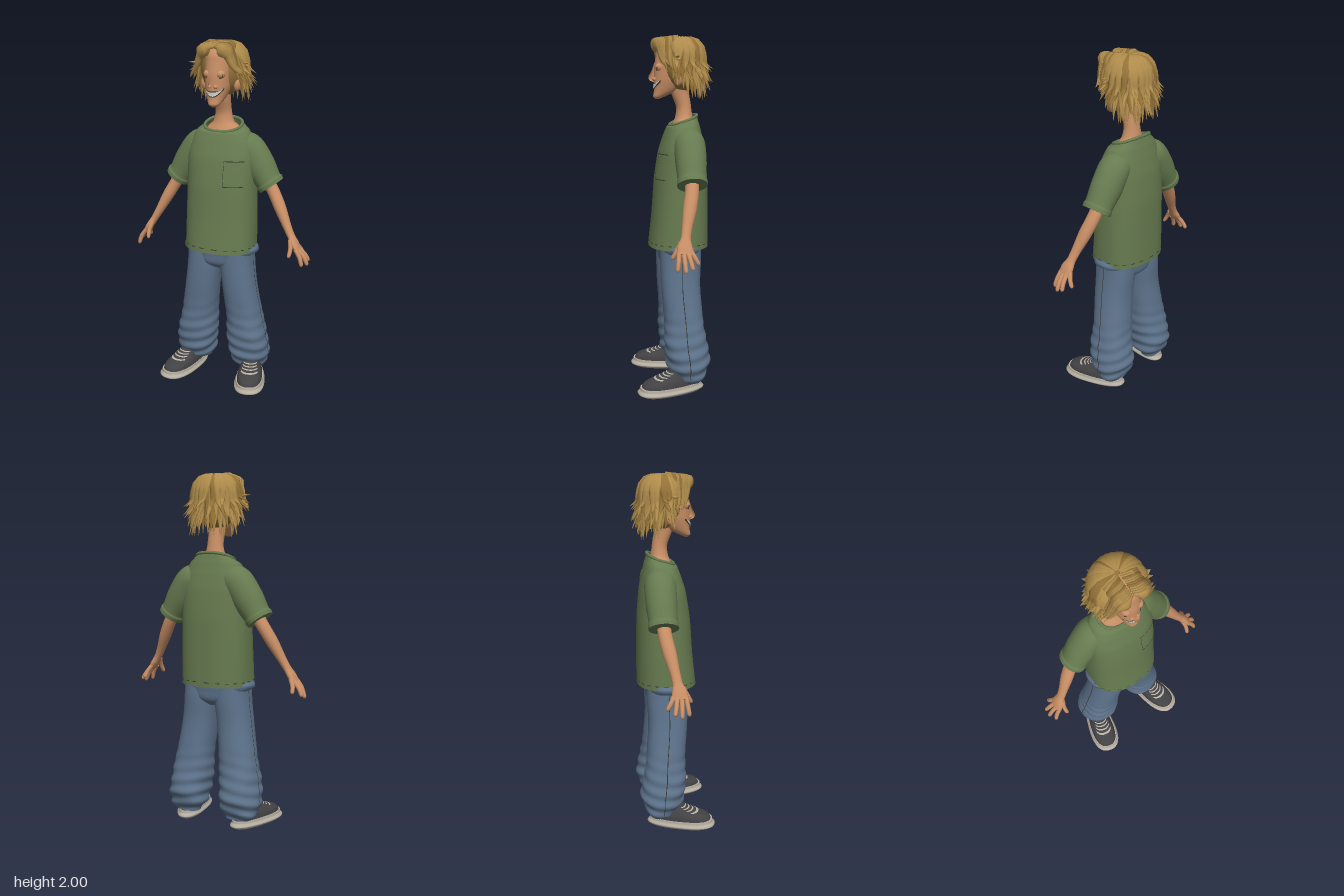
import * as THREE from 'three';
import { mergeGeometries } from 'three/addons/utils/BufferGeometryUtils.js';

const V = (x, y, z) => new THREE.Vector3(x, y, z);
const UP = V(0, 1, 0);
const mat = (name, color, side = THREE.FrontSide) => {
  const m = new THREE.MeshStandardMaterial({ color, side });
  m.name = name;
  return m;
};

let seed = 7;
const rnd = () => (seed = (seed * 16807) % 2147483647) / 2147483647;

// Swept surface. Rows: [x, y, z, radius along ref, radius across, tilt]
function surface(rows, { ref = V(0, 0, 1), upright = false, power = 2 } = {}) {
  const path = new THREE.CatmullRomCurve3(rows.map(r => V(r[0], r[1], r[2])));
  const size = new THREE.CatmullRomCurve3(rows.map(r => V(r[3], r[4], r[5] || 0)));
  const bend = c => Math.sign(c) * Math.abs(c) ** (2 / power);
  return (u, a, off = 0) => {
    const T = upright ? UP : path.getTangent(u);
    const A = ref.clone().addScaledVector(T, -ref.dot(T)).normalize();
    const B = V(0, 0, 0).crossVectors(T, A);
    const s = size.getPoint(u);
    return path.getPoint(u)
      .addScaledVector(A, bend(Math.cos(a)) * (s.x + off))
      .addScaledVector(B, bend(Math.sin(a)) * (s.y + off))
      .addScaledVector(T, s.z * Math.cos(a));
  };
}

// Mesh of fn(s, t) over the unit square, optionally wrapped in t and capped
function grid(fn, ns, nt, wrap = false, caps = false) {
  const pos = [], idx = [], w = wrap ? nt : nt + 1;
  for (let i = 0; i <= ns; i++) for (let j = 0; j < w; j++) pos.push(...fn(i / ns, j / nt).toArray());
  for (let i = 0; i < ns; i++) for (let j = 0; j < nt; j++) {
    const k = (j + 1) % w, a = i * w + j, b = i * w + k;
    idx.push(a, b, a + w, b, b + w, a + w);
  }
  if (caps) for (const s of [0, 1]) {
    const base = pos.length / 3, c = V(0, 0, 0);
    for (let j = 0; j < nt; j++) {
      const p = fn(s, j / nt);
      c.addScaledVector(p, 1 / nt);
      pos.push(...p.toArray());
    }
    pos.push(...c.toArray());
    for (let j = 0; j < nt; j++) {
      const a = base + j, b = base + (j + 1) % nt;
      idx.push(base + nt, s ? a : b, s ? b : a);
    }
  }
  const g = new THREE.BufferGeometry();
  g.setAttribute('position', new THREE.Float32BufferAttribute(pos, 3));
  g.setIndex(idx);
  g.computeVertexNormals();
  return g;
}
const TAU = Math.PI * 2;
const loft = (f, ns = 20, nt = 24, caps = true) => grid((s, t) => f(s, t * TAU), ns, nt, true, caps);
const patch = (f, u0, u1, a0, a1, off = 0.003, n = 6) =>
  grid((s, t) => f(u0 + (u1 - u0) * s, a0 + (a1 - a0) * t, off), n, n);
const uAt = (f, y) => {
  let lo = 0, hi = 1;
  for (let i = 0; i < 25; i++) f((lo + hi) / 2, Math.PI / 2).y < y ? lo = (lo + hi) / 2 : hi = (lo + hi) / 2;
  return lo;
};
const ball = (x, y, z, sx, sy, sz) => new THREE.SphereGeometry(1, 20, 14).scale(sx, sy, sz).translate(x, y, z);
function mirror(g) {
  const m = g.clone().scale(-1, 1, 1), ix = m.index.array;
  for (let i = 0; i < ix.length; i += 3) [ix[i], ix[i + 1]] = [ix[i + 1], ix[i]];
  return m;
}

export function createModel() {
  const root = new THREE.Group();
  const skin = mat('skin', 0xc98f66), hairLight = mat('hair', 0xb18d4c), hairDark = mat('hair shade', 0x957338);
  const green = mat('shirt green', 0x677b50, THREE.DoubleSide), denim = mat('denim', 0x5e748d);
  const black = mat('shoe black', 0x424244), rubber = mat('rubber', 0xb8b0a2);
  const white = mat('teeth', 0xd9d8d0, THREE.DoubleSide), ink = mat('dark seam', 0x33352a, THREE.DoubleSide);
  const part = (name, g, m) => {
    const mesh = new THREE.Mesh(g, m);
    mesh.name = name;
    root.add(mesh);
  };
  const both = (name, g, m) => { part(name + 'Left', g, m); part(name + 'Right', mirror(g), m); };

  // Shirt body with collar, hem stitches and chest pocket
  const torso = surface([[0, .82, -.035, .17, .208], [0, 1, -.044, .159, .206], [0, 1.2, -.05, .15, .202],
    [0, 1.36, -.056, .13, .2], [0, 1.45, -.062, .107, .18], [0, 1.505, -.064, .09, .15, -.008],
    [0, 1.535, -.065, .075, .108, -.03]], { upright: true, power: 2.4 });
  part('shirt', grid((s, t) => torso(s, t * TAU), 36, 48, true), green);
  part('shirtUnderside', new THREE.CircleGeometry(1, 32).rotateX(Math.PI / 2).scale(.2, 1, .155).translate(0, .835, -.035), green);
  const rim = Array.from({ length: 24 }, (_, i) => torso(1, i / 24 * TAU));
  part('collar', new THREE.TubeGeometry(new THREE.CatmullRomCurve3(rim, true), 48, .009, 8, true), green);
  const stitches = [];
  for (let i = 0; i < 22; i++) {
    const a = i / 22 * TAU;
    stitches.push(patch(torso, .022, .026, a, a + .13, .002, 3));
  }
  const pu0 = uAt(torso, 1.21), pu1 = uAt(torso, 1.355);
  part('pocket', patch(torso, pu0, pu1, .22, .88, .005), green);
  stitches.push(patch(torso, pu1 - .005, pu1, .22, .88, .007), patch(torso, pu0, pu1, .215, .225, .006),
    patch(torso, pu0, pu0 + .004, .22, .88, .006));

  // Sleeves, rolled slightly at the cuff
  const sleeve = surface([[.1, 1.43, -.075, .08, .075], [.15, 1.4, -.08, .088, .09], [.21, 1.315, -.08, .086, .09],
    [.268, 1.228, -.077, .079, .075], [.275, 1.218, -.077, .084, .08], [.288, 1.2, -.077, .083, .077]]);
  both('sleeve', loft(sleeve, 24, 28), green);
  part('stitching', mergeGeometries(stitches), ink);

  // Arms running into the palms, then fingers
  const arm = surface([[.23, 1.28, -.078, .04, .04], [.3, 1.17, -.072, .038, .035], [.345, 1.09, -.055, .038, .034],
    [.4, .985, -.03, .028, .024], [.425, .94, -.021, .027, .021], [.453, .895, -.013, .042, .02], [.475, .862, -.01, .042, .014]]);
  both('arm', loft(arm, 28, 18), skin);
  const fingers = [[.43, .92, .005, .435, .83, .055], [.466, .872, .02, .508, .78, .034], [.475, .865, -.004, .53, .776, -.008],
    [.472, .868, -.028, .528, .79, -.046], [.458, .882, -.042, .485, .808, -.083]].map(([x, y, z, X, Y, Z]) => {
    const a = V(x, y, z), b = V(X, Y, Z);
    const rows = [[0, .013], [.45, .0125], [.85, .0115], [.97, .007], [1, .002]].map(([k, r]) => {
      const p = a.clone().lerp(b, k);
      return [p.x + .008 * Math.sin(k * Math.PI), p.y, p.z, r, r];
    });
    return loft(surface(rows), 12, 10);
  });
  both('fingers', mergeGeometries(fingers), skin);

  // Jeans: hips and baggy legs bunching at the ankle
  const hips = surface([[0, .7, -.04, .07, .06], [0, .735, -.038, .112, .13], [0, .79, -.038, .12, .196], [0, .87, -.038, .12, .196]],
    { upright: true, power: 2.5 });
  part('hips', loft(hips, 12, 32), denim);
  const legShape = surface([[.175, .055, -.085, .068, .076], [.17, .1, -.075, .1, .106], [.168, .18, -.072, .126, .117],
    [.158, .27, -.06, .123, .117], [.142, .4, -.052, .112, .106], [.115, .6, -.037, .112, .1],
    [.1, .74, -.038, .117, .1], [.1, .85, -.038, .115, .095]], { upright: true, power: 2.3 });
  const leg = (u, a, off = 0) => {
    const y = legShape(u, 0).y, k = Math.max(0, 1 - y / .5);
    const fold = Math.sin(y * 85 + 2.2 * Math.sin(a + .6)) * .008 + Math.sin(3 * a + y * 20) * .005;
    return legShape(u, a, off + k * fold);
  };
  both('trouserLeg', loft(leg, 70, 32), denim);
  both('sideSeam', patch(leg, .1, .95, 1.555, 1.575, .0015, 40), ink);

  // Shoes turned outward, with laces
  const placeShoe = g => {
    const p = g.attributes.position;
    for (let i = 0; i < p.count; i++) p.setX(i, p.getX(i) * (1 + p.getZ(i)));
    g.computeVertexNormals();
    return g.rotateY(.255).translate(.213, 0, .03);
  };
  const sole = surface([[0, 0, 0, .176, .072], [0, .008, 0, .184, .078], [0, .03, 0, .184, .078], [0, .048, 0, .182, .077]],
    { upright: true, power: 2.4 });
  both('sole', placeShoe(loft(sole, 10, 36)), rubber);
  const upper = surface([[0, .04, 0, .177, .073], [0, .07, -.006, .165, .07], [0, .1, -.045, .118, .058],
    [0, .125, -.07, .085, .05], [0, .15, -.08, .07, .045]], { upright: true, power: 2.4 });
  both('shoeUpper', placeShoe(loft(upper, 18, 36)), black);
  for (let i = 0; i < 4; i++) both('lace', placeShoe(patch(upper, .43 + i * .09, .465 + i * .09, -.75, .75, .004, 8)), rubber);

  // Neck and head
  part('neck', loft(surface([[0, 1.47, -.065, .07, .1], [0, 1.515, -.067, .066, .095, -.012], [0, 1.55, -.07, .05, .06],
    [0, 1.61, -.068, .043, .046], [0, 1.68, -.05, .05, .046], [0, 1.74, -.04, .05, .05]], { upright: true }), 20, 24), skin);
  const head = surface([[0, 1.652, .082, .008, .01], [0, 1.664, .074, .03, .03], [0, 1.7, .036, .064, .05], [0, 1.76, .002, .099, .069],
    [0, 1.84, -.018, .115, .078], [0, 1.92, -.03, .114, .08], [0, 1.965, -.03, .085, .062], [0, 1.985, -.03, .01, .01]], { upright: true, power: 2.2 });
  part('head', loft(head, 36, 32), skin);
  const nose = surface([[0, 1.855, .085, .012, .01], [0, 1.81, .098, .014, .013], [0, 1.775, .11, .02, .018],
    [0, 1.757, .107, .018, .019], [0, 1.748, .1, .006, .008]], { upright: true });
  part('nose', loft(nose, 16, 16), skin);
  both('nostril', ball(.018, 1.763, .095, .011, .011, .014), skin);
  both('ear', ball(.095, 1.765, -.025, .02, .038, .026), skin);
  both('eyelid', ball(.036, 1.828, .07, .025, .024, .027), skin);
  both('lashLine', new THREE.TorusGeometry(.021, .0018, 5, 14, Math.PI).rotateZ(Math.PI).translate(.036, 1.829, .088), ink);

  // Wide smile: dark lip line behind a row of teeth
  const smile = (half, low, high, off) => grid((s, t) => {
    const k = 2 * t - 1, thick = 1 - k * k * .75;
    const y = 1.722 + .03 * k * k + (low + (high - low) * s) * thick;
    return head(uAt(head, y), k * half, off);
  }, 4, 16);
  part('lips', smile(.92, -.016, .016, .002), ink);
  part('teeth', smile(.8, -.011, .011, .004), white);

  // Hair: cap, layered hanging locks, and a centre-parted fringe
  part('hairCap', ball(0, 1.84, -.06, .122, .148, .122), hairDark);
  const locks = [[], []];
  const lock = (pts, w, th, ref, across) => {
    const taper = [.5, 1, 1, .75, .06];
    const rows = pts.map((p, i) => across ? [...p, th * taper[i], w * taper[i]] : [...p, w * taper[i], th * taper[i]]);
    locks[rnd() < .7 ? 0 : 1].push(loft(surface(rows, { ref }), 10, 7));
  };
  const layers = [[26, 1.665, .128, 0], [26, 1.705, .15, .006], [24, 1.755, .165, .012], [18, 1.81, .16, .017]];
  for (const [n, tipY, tipR, lift] of layers) for (let i = 0; i < n; i++) {
    const a = 1.15 + (TAU - 2.3) * (i + rnd() * .6) / (n - .4);
    const frontness = Math.max(0, Math.cos(a) + .35), sn = Math.sin(a), cs = Math.cos(a), tw = (rnd() - .5) * .25;
    const ty = tipY + frontness * .1 + (rnd() - .5) * .03;
    const at = (r, y, d = 0) => [Math.sin(a + d) * r * 1.03, y, -.05 + Math.cos(a + d) * r];
    lock([at(.012, 1.975 + lift * .7), at(.075, 1.968 + lift * .7), at(.118 + lift, 1.9), at(.13 + lift * .8, (1.9 + ty) / 2 - .01, tw * .4),
      at(tipR + rnd() * .025, ty, tw)], .021, .011, V(cs, 0, -sn));
  }
  for (const s of [-1, 1]) for (let k = 0; k < 11; k++) {
    const f = k / 10, j = rnd() * .02;
    lock([[s * .004, 1.972 + .01 * (1 - f), -.04 + f * .115], [s * (.035 + j * .3), 1.982 - f * .012, -.02 + f * .115],
      [s * (.085 + j * .5 - f * .012), 1.938 - f * .012, -.01 + f * .092], [s * (.128 - f * .025), 1.86 + f * .01, .0 + f * .07],
      [s * (.15 - f * .025 + rnd() * .035), 1.79 + rnd() * .05, -.01 + f * .06]], .02, .011, V(0, .2, 1), true);
  }
  part('hairLocks', mergeGeometries(locks[0]), hairLight);
  part('hairShadeLocks', mergeGeometries(locks[1]), hairDark);
  return root;
}
